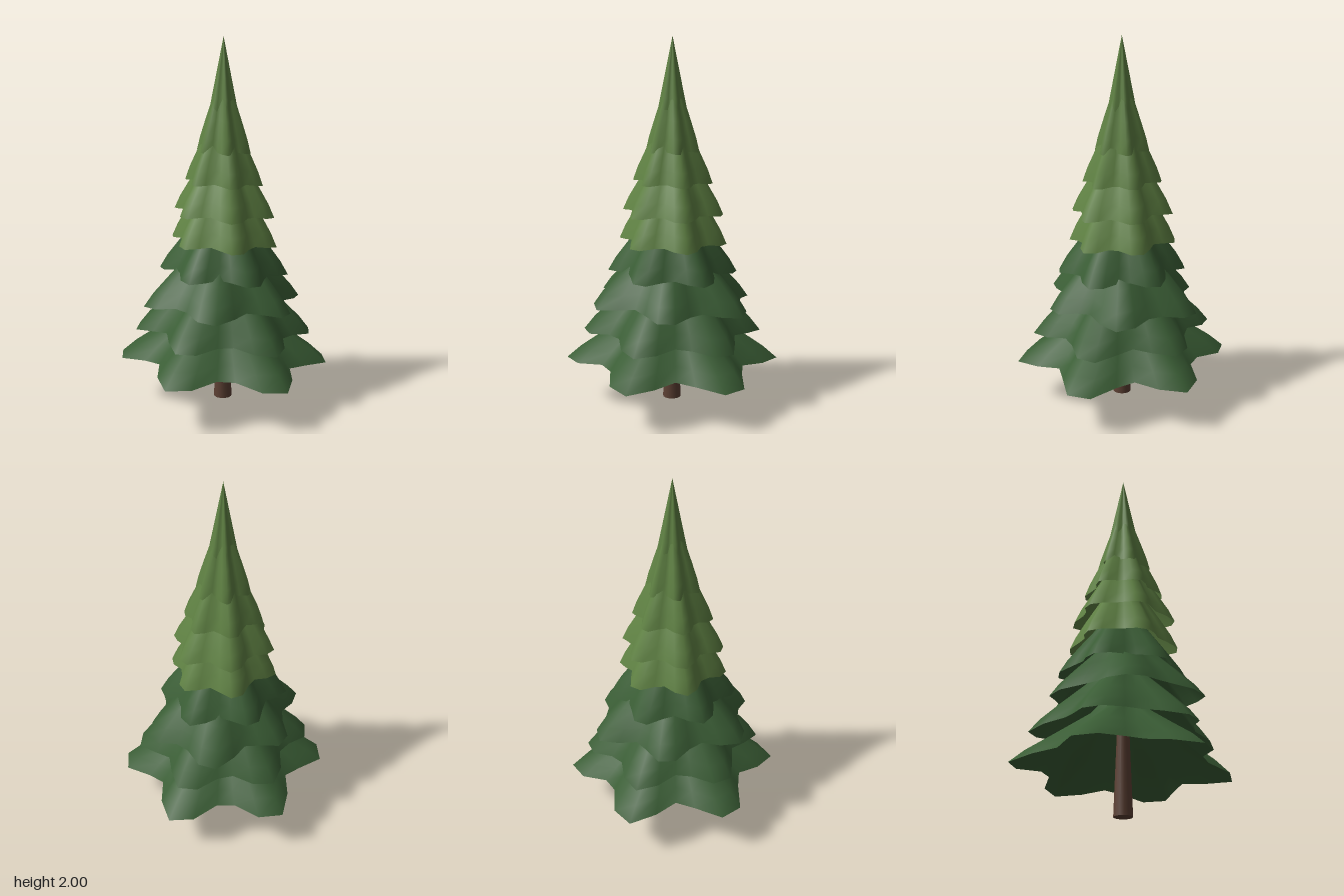
import * as THREE from 'three';

const SEGMENTS = 28;

// Each branch tier: hem height, lobe tip radius, height, angle of first lobe (degrees, x towards z),
// pleat depth, oval stretch and flare
const TIERS = [
  { y: 0.245, r: 0.59, h: 0.45, phase: 12, pleat: 0.15, oval: 0, flare: 1.15 },
  { y: 0.41, r: 0.495, h: 0.48, phase: 10, pleat: 0.13, oval: 0, flare: 1 },
  { y: 0.575, r: 0.45, h: 0.48, phase: -9, pleat: 0.12, oval: 0.05, flare: 1 },
  { y: 0.745, r: 0.355, h: 0.48, phase: 16, pleat: 0.12, oval: 0, flare: 1 },
  { y: 0.91, r: 0.3, h: 0.50, phase: 30, pleat: 0.12, oval: 0, flare: 0.95 },
  { y: 1.07, r: 0.285, h: 0.48, phase: 33, pleat: 0.12, oval: 0, flare: 1 },
  { y: 1.235, r: 0.22, h: 0.48, phase: 29, pleat: 0.13, oval: 0, flare: 1 },
  { y: 1.40, r: 0.152, h: 0.48, phase: 34, pleat: 0.14, oval: 0, flare: 1 },
  { y: 1.57, r: 0.09, h: 0.43, phase: 30, pleat: 0.14, oval: 0, flare: 1 },
];

// Skirt profile from hem to top: [radius fraction, height fraction]
const SKIRT = [[1, 0], [0.88, 0.15], [0.68, 0.34], [0.35, 0.64], [0.08, 1]];
const TIP = [[1, 0], [0.75, 0.25], [0.5, 0.5], [0.25, 0.75], [0, 1]];

// Pleated skirt with six drooping lobes and a slightly tilted hem
function tierGeometry({ y, r, h, phase, pleat, oval, flare }, profile) {
  const positions = [];
  const faces = [];
  const start = THREE.MathUtils.degToRad(phase);
  const offset = THREE.MathUtils.degToRad(5.1);
  const longAxis = THREE.MathUtils.degToRad(141);
  profile.forEach(([f, t]) => {
    for (let i = 0; i < SEGMENTS; i++) {
      const a = offset + (i / SEGMENTS) * Math.PI * 2;
      const wave = Math.cos(6 * (a - start));
      const lobes = 1 - pleat + pleat * wave + oval * Math.cos(2 * (a - longAxis));
      const radius = r * lobes * Math.pow(f, flare);
      const droop = (0.02 * Math.cos(a - start) + 0.015 * wave) * (1 - t) * Math.min(1, r * 2);
      positions.push(radius * Math.cos(a), y + h * t - droop, radius * Math.sin(a));
    }
  });
  for (let row = 0; row < profile.length - 1; row++) {
    for (let i = 0; i < SEGMENTS; i++) {
      const a = row * SEGMENTS + i;
      const b = row * SEGMENTS + ((i + 1) % SEGMENTS);
      faces.push(a, a + SEGMENTS, b, b, a + SEGMENTS, b + SEGMENTS);
    }
  }
  const geometry = new THREE.BufferGeometry();
  geometry.setAttribute('position', new THREE.Float32BufferAttribute(positions, 3));
  geometry.setIndex(faces);
  geometry.computeVertexNormals();
  return geometry;
}

export function createModel() {
  const darkGreen = new THREE.MeshStandardMaterial({ color: 0x3a5d35, side: THREE.DoubleSide });
  darkGreen.name = 'dark green needles';
  const lightGreen = new THREE.MeshStandardMaterial({ color: 0x5f8143, side: THREE.DoubleSide });
  lightGreen.name = 'light green needles';
  const bark = new THREE.MeshStandardMaterial({ color: 0x5c4033 });
  bark.name = 'brown bark';

  const tree = new THREE.Group();
  tree.name = 'pineTree';

  // Tapered trunk running up inside the branches
  const trunk = new THREE.Mesh(new THREE.CylinderGeometry(0.015, 0.05, 0.9, 14), bark);
  trunk.name = 'trunk';
  trunk.position.set(-0.005, 0.45, 0);
  tree.add(trunk);

  // Four dark lower tiers, five light upper tiers, the last closing to a point
  TIERS.forEach((tier, i) => {
    const isTip = i === TIERS.length - 1;
    const mesh = new THREE.Mesh(tierGeometry(tier, isTip ? TIP : SKIRT), i < 4 ? darkGreen : lightGreen);
    mesh.name = isTip ? 'treeTip' : `branchTier${i + 1}`;
    tree.add(mesh);
  });
  return tree;
}
